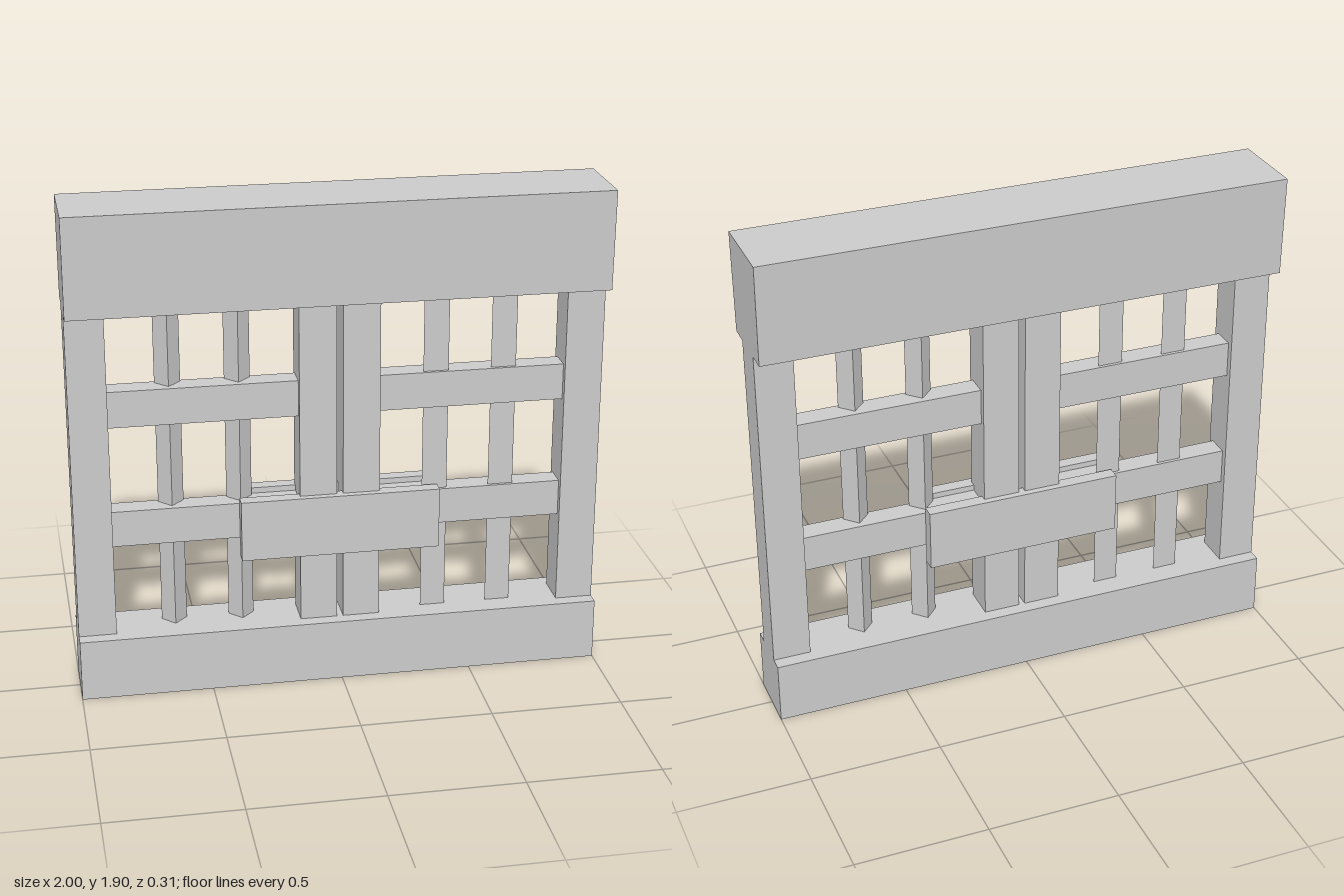
import * as THREE from 'three';

const material = new THREE.MeshStandardMaterial({ color: 0xcccccc, flatShading: true });
const BASE_TOP = 0.24, BEAM_BOTTOM = 1.52, TOP = 1.9;

function add(parent, name, geometry) {
  const mesh = new THREE.Mesh(geometry, material);
  mesh.name = name;
  parent.add(mesh);
  return mesh;
}

// Box given by its lower and upper limits on each axis
function box(x0, x1, y0, y1, z0, z1) {
  return new THREE.BoxGeometry(x1 - x0, y1 - y0, z1 - z0)
    .translate((x0 + x1) / 2, (y0 + y1) / 2, (z0 + z1) / 2);
}

// Upright triangular bar: flat face to the front, ridge to the back
function triangularBar(x) {
  const shape = new THREE.Shape([
    new THREE.Vector2(-0.048, -0.03),
    new THREE.Vector2(0.048, -0.03),
    new THREE.Vector2(0, 0.02),
  ]);
  return new THREE.ExtrudeGeometry(shape, { depth: BEAM_BOTTOM - BASE_TOP, bevelEnabled: false })
    .rotateX(-Math.PI / 2)
    .translate(x, BASE_TOP, 0);
}

// One door leaf with its posts, rails, bars and one lock plate
function gateHalf(name) {
  const half = new THREE.Group();
  half.name = name;
  add(half, 'outerPost', box(0.857, 1, BASE_TOP, BEAM_BOTTOM, -0.068, 0.068));
  add(half, 'innerPost', box(0.012, 0.152, BASE_TOP, BEAM_BOTTOM, -0.068, 0.068));
  add(half, 'lowerRail', box(0.152, 0.857, 0.59, 0.73, -0.043, 0.043));
  add(half, 'upperRail', box(0.152, 0.857, 1.065, 1.205, -0.043, 0.043));
  for (const x of [0.37, 0.628]) add(half, 'bar', triangularBar(x));
  add(half, 'lockPlate', box(-0.378, 0.378, 0.515, 0.752, 0.043, 0.094));
  return half;
}

export function createModel() {
  const gate = new THREE.Group();
  gate.name = 'gate';

  add(gate, 'baseBeam', box(-1, 1, 0, BASE_TOP, -0.12, 0.12));

  // Top beam, slightly wider at its upper edge
  const beam = box(-1, 1, BEAM_BOTTOM, TOP, -0.156, 0.156);
  const p = beam.attributes.position;
  for (let i = 0; i < p.count; i++) {
    if (p.getY(i) < (BEAM_BOTTOM + TOP) / 2) p.setZ(i, p.getZ(i) * 0.93);
  }
  beam.computeVertexNormals();
  add(gate, 'topBeam', beam);

  // The right half is the left half turned half way round
  gate.add(gateHalf('leftHalf'));
  const right = gateHalf('rightHalf');
  right.rotation.y = Math.PI;
  gate.add(right);

  return gate;
}
